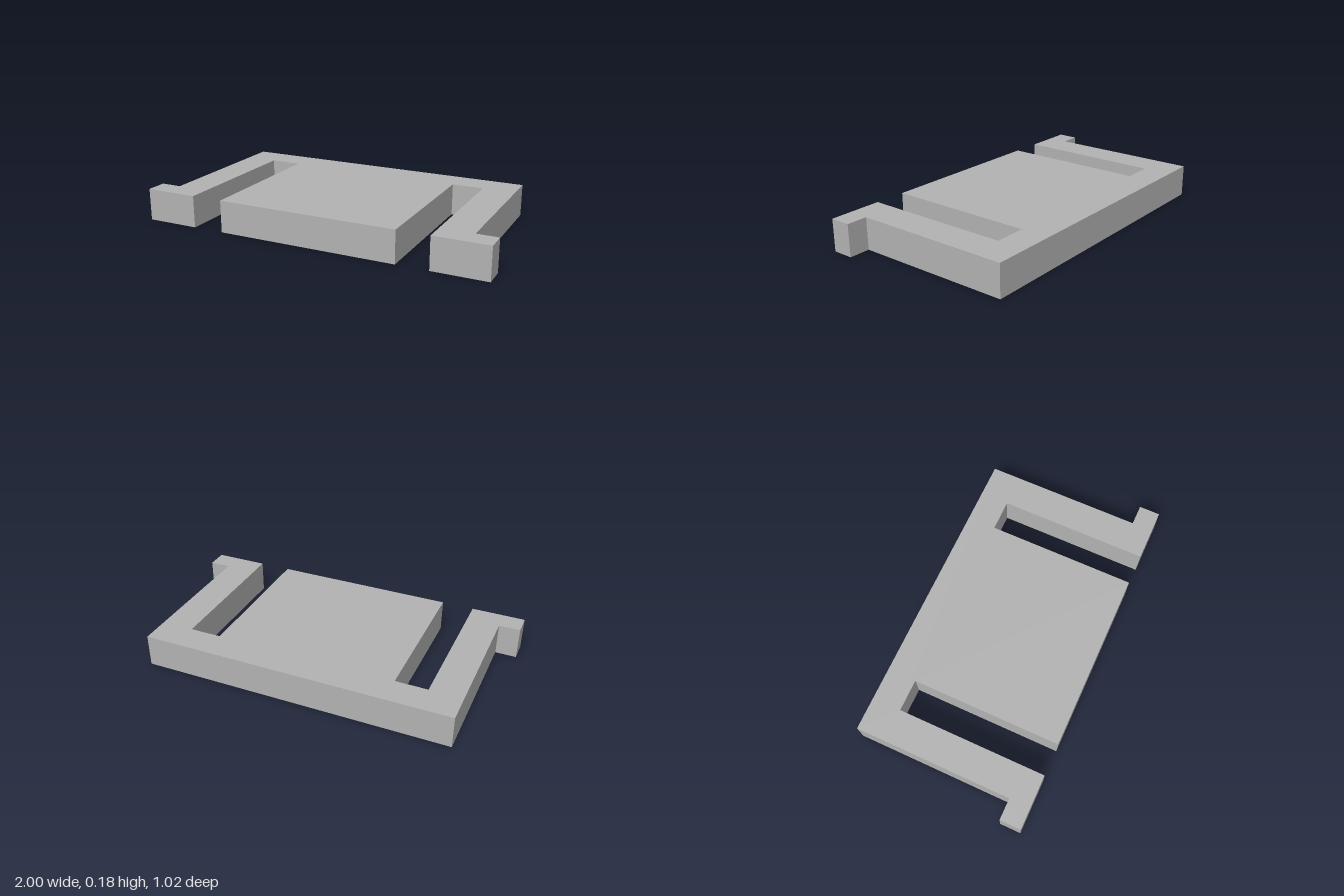
import * as THREE from 'three';

export function createModel() {
  const model = new THREE.Group();
  model.name = 'clipPlate';
  const grey = new THREE.MeshStandardMaterial({ color: 0xb2b2b2 });
  grey.name = 'grey';

  const depth = 0.508, height = 0.183;

  // Right half of the outline as [x, z], from the tongue's front corner to the back edge
  const half = [
    [0.515, depth], [0.515, -0.343],   // tongue side
    [0.695, -0.343], [0.695, depth],   // slot end and arm inside
    [1, depth], [1, 0.388],            // hooked foot
    [0.88, 0.388], [0.88, -depth],     // arm outside
  ];
  const mirrored = half.map(([x, z]) => [-x, z]).reverse();
  const outline = [...half, ...mirrored].map(([x, z]) => new THREE.Vector2(x, -z));

  // Plate with central tongue and two hooked spring arms, laid flat
  const geometry = new THREE.ExtrudeGeometry(new THREE.Shape(outline), {
    depth: height, bevelEnabled: false,
  });
  geometry.rotateX(-Math.PI / 2);

  const plate = new THREE.Mesh(geometry, grey);
  plate.name = 'plateWithHookedArms';
  model.add(plate);
  return model;
}
